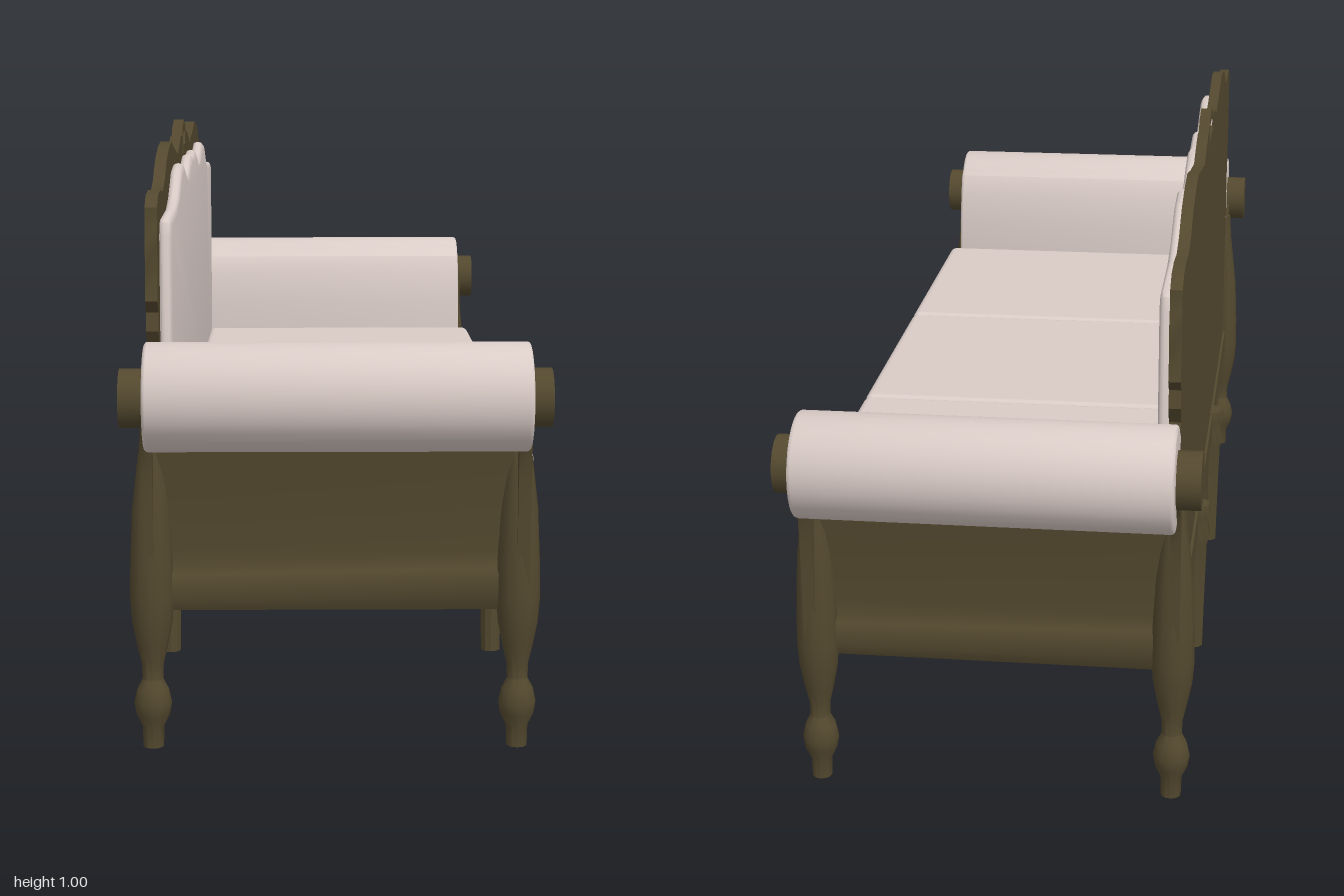
import * as THREE from 'three';
import { toCreasedNormals } from 'three/addons/utils/BufferGeometryUtils.js';
import { RoundedBoxGeometry } from 'three/addons/geometries/RoundedBoxGeometry.js';

export function createModel() {
  const sofa = new THREE.Group();
  sofa.name = 'sofa';
  const wood = new THREE.MeshStandardMaterial({ color: 0x54492f });
  wood.name = 'dark wood';
  const fabric = new THREE.MeshStandardMaterial({ color: 0xd9cbc6 });
  fabric.name = 'pale fabric';

  function add(name, geometry, material, x = 0, y = 0, z = 0) {
    const mesh = new THREE.Mesh(geometry, material);
    mesh.name = name;
    mesh.position.set(x, y, z);
    sofa.add(mesh);
    return mesh;
  }
  const v = (pts, s = 1) => pts.map(([z, y]) => new THREE.Vector2(-s * z, y));
  const mirrored = (half) => [...half, ...half.filter((p) => p[0] !== 0).reverse().map(([z, y]) => [-z, y])];
  // Extrudes a (z, y) outline along x, from x0 to x1
  function slab(shape, x0, x1, bevel = 0) {
    const g = new THREE.ExtrudeGeometry(shape, {
      depth: x1 - x0 - 2 * bevel, curveSegments: 16, bevelEnabled: bevel > 0,
      bevelSize: bevel, bevelThickness: bevel, bevelOffset: -bevel, bevelSegments: 3,
    });
    g.rotateY(Math.PI / 2).translate(x0 + bevel, 0, 0);
    return toCreasedNormals(g, 0.7);
  }

  // Carved back panel with a scalloped top and pierced crest
  const back = new THREE.Shape(v(mirrored([
    [0.8, 0.24], [0.84, 0.26], [0.84, 0.62], [0.83, 0.66], [0.85, 0.69], [0.845, 0.72], [0.865, 0.74],
    [0.855, 0.79], [0.865, 0.83], [0.855, 0.86], [0.855, 0.89], [0.825, 0.908], [0.77, 0.912],
    [0.7, 0.905], [0.645, 0.918], [0.58, 0.95], [0.5, 0.968], [0.43, 0.974], [0.34, 0.957],
    [0.22, 0.94], [0.15, 0.96], [0.11, 0.97], [0.065, 0.967], [0.05, 0.985], [0.02, 0.988], [0, 0.996],
  ])));
  back.holes.push(new THREE.Path(v([[-0.038, 0.947], [0.038, 0.947], [0.04, 0.966], [0.02, 0.973], [-0.02, 0.973], [-0.04, 0.966]])));
  add('backPanel', slab(back, -0.305, -0.285), wood);
  add('crestOrnament', new THREE.BoxGeometry(0.024, 0.016, 0.12), wood, -0.295, 0.942, 0);

  // Padded backrest following the frame
  add('backCushion', slab(new THREE.Shape(v(mirrored([
    [0.81, 0.25], [0.81, 0.84], [0.8, 0.862], [0.78, 0.868], [0.62, 0.872], [0.55, 0.887], [0.46, 0.925],
    [0.385, 0.933], [0.32, 0.92], [0.25, 0.9], [0.19, 0.903], [0.14, 0.92], [0.08, 0.932], [0, 0.922],
  ]))), -0.287, -0.265, 0.01), fabric);

  // Seat
  add('seatBase', new THREE.BoxGeometry(0.595, 0.035, 1.65), fabric, 0.0125, 0.3025, 0);
  for (const i of [-1, 0, 1]) {
    add('seatCushion', new RoundedBoxGeometry(0.6, 0.165, 0.526, 3, 0.014), fabric, 0.03, 0.4, i * 0.527);
  }

  // Aprons with a gently waved lower edge
  const apron = [[0.84, 0.288]];
  for (let i = 0; i <= 40; i++) {
    const z = 0.84 - i * 0.042;
    apron.push([z, 0.232 + 0.005 * Math.cos(z * 24)]);
  }
  apron.push([-0.84, 0.288]);
  const apronShape = new THREE.Shape(v(apron));
  add('frontApron', slab(apronShape, 0.285, 0.318), wood);
  add('backApron', slab(apronShape, -0.31, -0.29), wood);

  // Turned corner leg and tapering post
  const legGeometry = toCreasedNormals(new THREE.LatheGeometry([
    [0, 0], [0.017, 0], [0.018, 0.035], [0.028, 0.055], [0.031, 0.075], [0.026, 0.098], [0.017, 0.115],
    [0.018, 0.14], [0.025, 0.17], [0.033, 0.21], [0.036, 0.25], [0.035, 0.31], [0.031, 0.4],
    [0.024, 0.46], [0.018, 0.51], [0.015, 0.56], [0, 0.56],
  ].map(([r, y]) => new THREE.Vector2(r, y)), 12), 0.7);
  // Tapering middle leg with a cap
  const midLegGeometry = toCreasedNormals(new THREE.LatheGeometry([
    [0, 0], [0.018, 0], [0.02, 0.1], [0.023, 0.21], [0.028, 0.23], [0.024, 0.26], [0.028, 0.275], [0.026, 0.293], [0, 0.293],
  ].map(([r, y]) => new THREE.Vector2(r, y)), 10), 0.6);

  const rollZ = 0.912, rollY = 0.593, rollR = 0.088;
  for (const s of [1, -1]) {
    // Scrolled upholstered arm: inner band rising into the roll
    const arm = [[0.8, 0.286], [0.795, 0.32], [0.797, 0.45], [0.803, 0.54], [0.814, 0.6], [0.832, 0.644]];
    for (let i = 0; i <= 22; i++) {
      const a = THREE.MathUtils.degToRad(138 - i * 11.4);
      arm.push([rollZ + rollR * Math.cos(a), rollY + rollR * Math.sin(a)]);
    }
    arm.push([0.85, 0.5], [0.835, 0.4], [0.835, 0.286]);
    add('armUpholstery', slab(new THREE.Shape(v(arm, s)), -0.305, 0.31, 0.006), fabric);

    // Outer wooden side panel with a stepped lower rail
    const side = [[0.835, 0.236], [0.855, 0.23], [0.864, 0.25], [0.864, 0.29], [0.856, 0.3], [0.856, 0.33],
      [0.862, 0.42], [0.876, 0.515], [0.845, 0.515], [0.835, 0.4]];
    add('sidePanel', slab(new THREE.Shape(v(side, s)), -0.29, 0.29), wood);

    // Scroll facing, round boss, post and leg at each corner
    const facing = [[0.822, 0.24], [0.818, 0.32], [0.82, 0.42], [0.833, 0.5], [0.855, 0.57], [0.862, 0.61],
      [0.89, 0.635], [0.93, 0.625], [0.945, 0.58], [0.925, 0.55], [0.905, 0.52], [0.895, 0.45], [0.89, 0.35], [0.885, 0.24]];
    const facingShape = new THREE.Shape(v(facing, s));
    add('frontArmFacing', slab(facingShape, 0.295, 0.316), wood);
    add('backArmFacing', slab(facingShape, -0.311, -0.295), wood);
    for (const f of [1, -1]) {
      const boss = add('armBoss', new THREE.CylinderGeometry(0.048, 0.048, 0.045, 16), wood, f * 0.3225, 0.59, s * 0.905);
      boss.rotation.z = Math.PI / 2;
      add('cornerLeg', legGeometry, wood, f * 0.3, 0, s * 0.855);
      add('middleLeg', midLegGeometry, wood, f * 0.304, 0, s * 0.265);
    }
  }
  return sofa;
}
